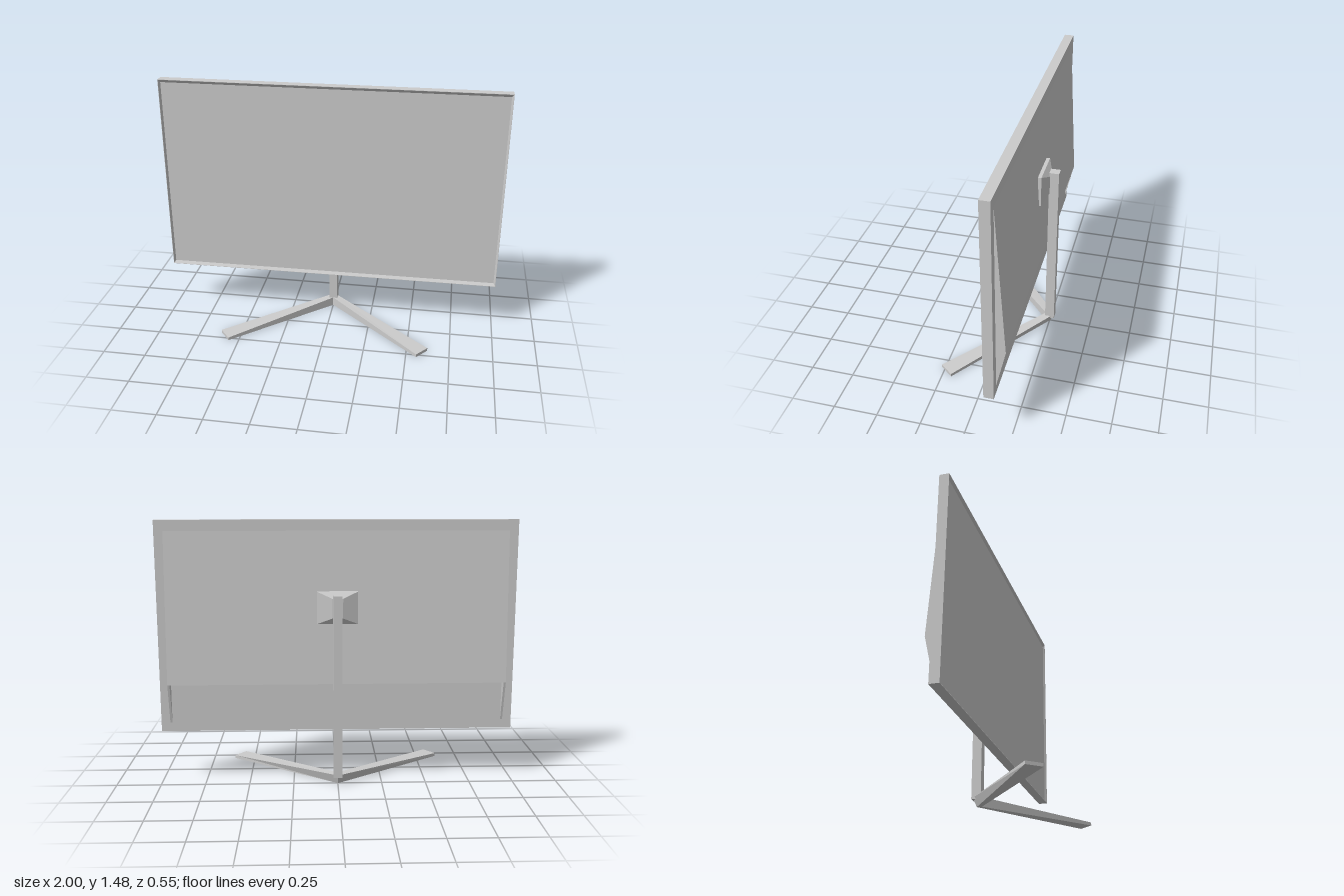
import * as THREE from 'three';

const material = new THREE.MeshStandardMaterial({ color: 0xcccccc, flatShading: true });

// Skin through four-cornered rings; corners run counter-clockwise seen from the last ring's side.
function loft(name, rings) {
  const pos = [];
  const quad = (a, b, c, d) => [a, b, c, a, c, d].forEach(p => pos.push(...p));
  for (let r = 0; r < rings.length - 1; r++) {
    for (let i = 0; i < 4; i++) {
      const j = (i + 1) % 4;
      quad(rings[r][i], rings[r][j], rings[r + 1][j], rings[r + 1][i]);
    }
  }
  quad(...rings[0].slice().reverse());
  quad(...rings[rings.length - 1]);
  const g = new THREE.BufferGeometry();
  g.setAttribute('position', new THREE.Float32BufferAttribute(pos, 3));
  g.computeVertexNormals();
  const mesh = new THREE.Mesh(g, material);
  mesh.name = name;
  return mesh;
}

// Upright rectangle facing +z
const rect = (hx, y0, y1, z) => [[-hx, y0, z], [hx, y0, z], [hx, y1, z], [-hx, y1, z]];

// Side profile of [z, y] points extruded along x, centred on x
function profile(name, points, width, x) {
  const shape = new THREE.Shape(points.map(([z, y]) => new THREE.Vector2(-z, y)));
  const g = new THREE.ExtrudeGeometry(shape, { depth: width, bevelEnabled: false });
  g.translate(0, 0, -width / 2).rotateY(Math.PI / 2).translate(x, 0, 0);
  const mesh = new THREE.Mesh(g, material);
  mesh.name = name;
  return mesh;
}

export function createModel() {
  const model = new THREE.Group();
  model.name = 'monitor';

  // Display, turned very slightly on its stand
  const display = new THREE.Group();
  display.name = 'display';
  display.rotation.y = 0.006;
  model.add(display);

  // Panel with a sloped bezel sinking to the screen
  display.add(loft('panel', [
    rect(1, 0.29, 1.48, -0.158),
    rect(1, 0.29, 1.48, -0.103),
    rect(0.998, 0.292, 1.478, -0.103),
    rect(0.988, 0.308, 1.462, -0.115),
  ]));

  // Back housing: sloped upper wedge ending in a step
  display.add(profile('backHousing', [[-0.155, 0.57], [-0.21, 0.57], [-0.158, 1.42], [-0.155, 1.42]], 1.9, 0));

  // Triangular end gussets below the step
  for (const s of [-1, 1]) {
    display.add(profile('endGusset', [[-0.155, 0.34], [-0.158, 0.34], [-0.21, 0.57], [-0.155, 0.57]], 0.012, s * 0.944));
  }

  // Mounting plate tapering to the pole
  model.add(loft('mount', [
    rect(0.03, 0.945, 1.055, -0.23),
    rect(0.113, 0.91, 1.09, -0.2),
    rect(0.113, 0.91, 1.09, -0.18),
  ]));

  // Pole
  const pole = new THREE.Mesh(new THREE.BoxGeometry(0.05, 1.035, 0.055), material);
  pole.name = 'pole';
  pole.position.set(0, 0.5575, -0.2525);
  model.add(pole);

  // Two splayed legs, thin and wide at the tips
  for (const s of [-1, 1]) {
    const root = [[0, 0, -0.225], [0, 0, -0.255], [0, 0.055, -0.28], [0, 0.055, -0.225]];
    const tip = [[s * 0.56, 0, 0.272], [s * 0.622, 0, 0.197], [s * 0.622, 0.018, 0.197], [s * 0.56, 0.018, 0.272]];
    const rings = [root, tip].map(r => (s > 0 ? r : r.slice().reverse()));
    const leg = loft(s > 0 ? 'leftLeg' : 'rightLeg', rings);
    model.add(leg);
  }

  return model;
}
